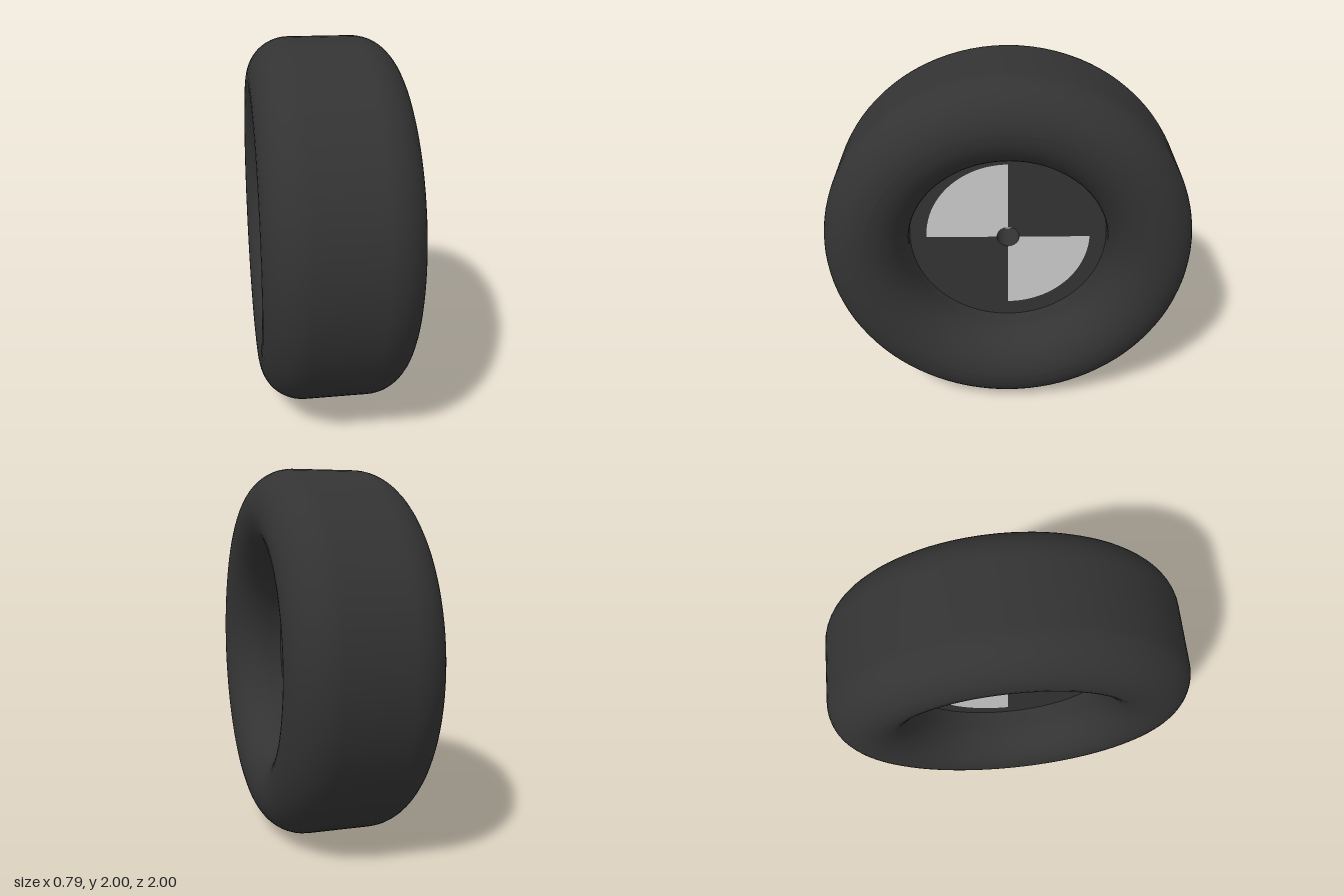
import * as THREE from 'three';

const OUTER = 1, INNER = 0.547, HALF_WIDTH = 0.395, CORNER = 0.225;
const HUB_HALF = 0.09, BORE = 0.062, PATCH = 0.455;

export function createModel() {
  const wheel = new THREE.Group();
  wheel.name = 'wheel';
  wheel.position.y = OUTER;

  const rubber = new THREE.MeshStandardMaterial({ color: 0x333333 });
  const light = new THREE.MeshStandardMaterial({ color: 0xcccccc });
  const boreMaterial = new THREE.MeshStandardMaterial({ color: 0x333333, side: THREE.BackSide });

  const add = (parent, name, geometry, material) => {
    const mesh = new THREE.Mesh(geometry, material);
    mesh.name = name;
    parent.add(mesh);
    return mesh;
  };

  // Tyre: rounded section, from the hub edge around the tread to the other hub edge
  const profile = [new THREE.Vector2(INNER, -HUB_HALF)];
  const corner = (r, y, start) => {
    for (let i = 0; i <= 12; i++) {
      const a = start + (i / 12) * Math.PI / 2;
      profile.push(new THREE.Vector2(r + CORNER * Math.cos(a), y + CORNER * Math.sin(a)));
    }
  };
  const shoulder = HALF_WIDTH - CORNER;
  corner(INNER + CORNER, -shoulder, Math.PI);
  corner(OUTER - CORNER, -shoulder, Math.PI * 1.5);
  corner(OUTER - CORNER, shoulder, 0);
  corner(INNER + CORNER, shoulder, Math.PI / 2);
  profile.push(new THREE.Vector2(INNER, HUB_HALF));
  add(wheel, 'tyre', new THREE.LatheGeometry(profile, 96), rubber).rotation.z = Math.PI / 2;

  // Hub faces: dark rim with alternating quarter panels, mirrored on both sides
  for (const side of [1, -1]) {
    const face = new THREE.Group();
    face.name = side > 0 ? 'leftHubFace' : 'rightHubFace';
    face.position.x = side * HUB_HALF;
    face.rotation.y = side * Math.PI / 2;
    wheel.add(face);
    add(face, 'hubRim', new THREE.RingGeometry(PATCH, INNER, 96), rubber);
    for (let q = 0; q < 4; q++) {
      const isLight = (q % 2 === 1) === (side > 0);
      const quarter = new THREE.RingGeometry(BORE, PATCH, 24, 1, q * Math.PI / 2, Math.PI / 2);
      add(face, isLight ? 'lightQuarter' : 'darkQuarter', quarter, isLight ? light : rubber);
    }
  }

  // Axle hole through the hub
  const bore = new THREE.CylinderGeometry(BORE, BORE, 2 * HUB_HALF, 48, 1, true);
  add(wheel, 'axleHole', bore, boreMaterial).rotation.z = Math.PI / 2;

  const model = new THREE.Group();
  model.name = 'model';
  model.add(wheel);
  return model;
}
